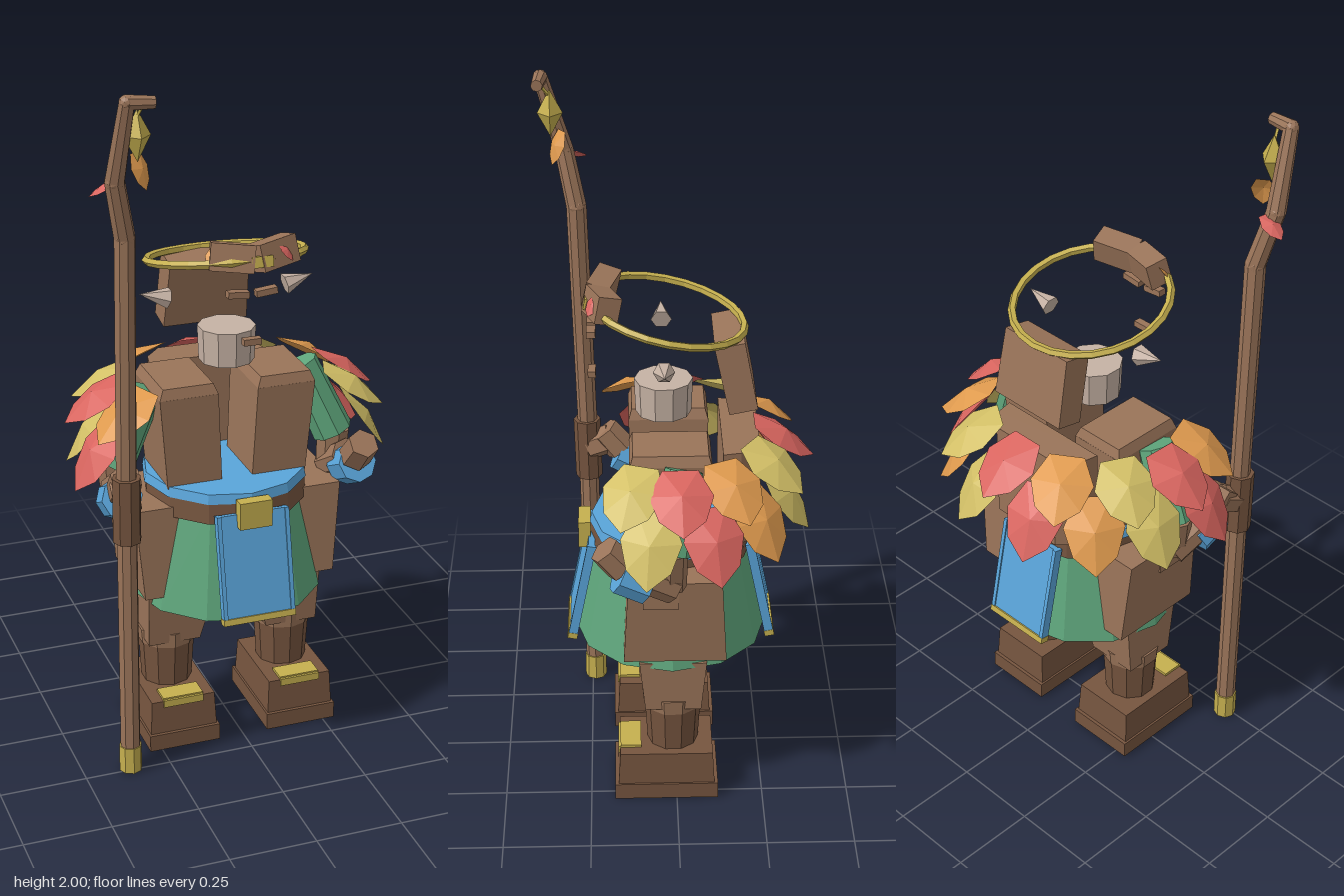
import * as THREE from 'three';

const colours = {
  brown: 0x9a7459, darkBrown: 0x76553f, green: 0x5fa67c, blue: 0x5aa5da, red: 0xd9655f,
  orange: 0xdf9a4e, yellow: 0xd2bf66, gold: 0xc6b04f, bone: 0xc6b2a4,
};

export function createModel() {
  const model = new THREE.Group();
  model.name = 'forestGuardian';
  const M = {};
  for (const [name, color] of Object.entries(colours)) {
    M[name] = new THREE.MeshStandardMaterial({ color, side: THREE.DoubleSide });
    M[name].name = name;
  }
  const V = (x, y, z) => new THREE.Vector3(x, y, z);

  // Faceted mesh helper
  function add(name, geo, mat, pos = [0, 0, 0], rot = [0, 0, 0], parent = model) {
    const g = geo.index ? geo.toNonIndexed() : geo;
    g.computeVertexNormals();
    const mesh = new THREE.Mesh(g, M[mat]);
    mesh.name = name;
    mesh.position.set(...pos);
    mesh.rotation.set(...rot);
    parent.add(mesh);
    return mesh;
  }
  const box = (w, h, d) => new THREE.BoxGeometry(w, h, d);
  const cyl = (rt, rb, h, n = 10) => new THREE.CylinderGeometry(rt, rb, h, n);
  // Box whose top is scaled and shifted relative to its bottom
  function taper(w, h, d, sx, sz, shiftX = 0, shiftZ = 0) {
    const g = box(w, h, d), p = g.attributes.position;
    for (let i = 0; i < p.count; i++) if (p.getY(i) > 0) {
      p.setX(i, p.getX(i) * sx + shiftX);
      p.setZ(i, p.getZ(i) * sz + shiftZ);
    }
    return g;
  }
  // Cylinder running from one point to another
  function limb(name, mat, a, b, ra, rb, n = 8) {
    const from = V(...a), to = V(...b), dir = to.clone().sub(from);
    const mesh = add(name, cyl(rb, ra, dir.length(), n), mat, from.clone().add(to).multiplyScalar(0.5).toArray());
    mesh.quaternion.setFromUnitVectors(V(0, 1, 0), dir.normalize());
    return mesh;
  }

  // Legs and boots
  for (const s of [-1, 1]) {
    const x = 0.18 * s;
    add('thigh', taper(0.155, 0.16, 0.16, 1.3, 1.2, -0.02 * s), 'brown', [x, 0.375, 0.01]);
    add('bootCuff', cyl(0.088, 0.084, 0.045), 'brown', [x, 0.3, 0.01]);
    add('bootShaft', cyl(0.082, 0.073, 0.15), 'darkBrown', [x, 0.215, 0.01]);
    add('bootSole', box(0.212, 0.05, 0.3), 'darkBrown', [x, 0.025, 0.03]);
    add('bootFoot', taper(0.2, 0.1, 0.28, 0.95, 0.96), 'darkBrown', [x, 0.1, 0.03]);
    add('toePlate', box(0.12, 0.009, 0.06), 'gold', [x, 0.154, 0.133]);
    add('toePlateFront', box(0.12, 0.022, 0.008), 'gold', [x, 0.143, 0.166]);
  }

  // Skirt, hip guards and belt
  add('skirt', cyl(0.215, 0.278, 0.32, 12), 'green', [0, 0.6, 0.012]);
  for (const s of [-1, 1]) {
    add('hipGuard', taper(0.105, 0.27, 0.29, 1.2, 0.9, 0.012 * s), 'brown', [0.232 * s, 0.615, 0.005]);
    add('hipGuardLip', box(0.03, 0.06, 0.1), 'brown', [0.29 * s, 0.695, 0.045]);
  }
  add('belt', cyl(0.232, 0.236, 0.06, 12), 'darkBrown', [0, 0.75, 0.01]);
  add('sash', cyl(0.232, 0.238, 0.028, 12), 'blue', [0, 0.793, 0.005]);
  add('buckle', box(0.095, 0.08, 0.035), 'gold', [0, 0.758, 0.258]);

  // Front and back hanging cloths with gold hems
  for (const [s, z] of [[1, 0.268], [-1, -0.243]]) {
    const cloth = new THREE.Group();
    cloth.name = s > 0 ? 'frontCloth' : 'backCloth';
    cloth.position.set(0, 0.6, z);
    cloth.rotation.set(-0.2 * s, 0, 0);
    model.add(cloth);
    add('clothPanel', box(0.2, 0.31, 0.018), 'blue', [0, 0, 0], [0, 0, 0], cloth);
    for (const e of [-1, 1]) add('clothEdge', box(0.012, 0.31, 0.026), 'blue', [0.1 * e, 0, 0], [0, 0, 0], cloth);
    add('clothHem', box(0.214, 0.018, 0.028), 'gold', [0, -0.15, 0], [0, 0, 0], cloth);
  }

  // Torso shells
  for (const s of [-1, 1]) {
    add('chestPanel', taper(0.16, 0.27, 0.21, 1.06, 1.08, 0.018 * s), 'brown', [0.125 * s, 0.935, 0.015]);
    add('chestPanelTop', taper(0.17, 0.03, 0.226, 0.86, 0.92), 'brown', [0.143 * s, 1.085, 0.015]);
  }
  const back = new THREE.Shape([[-0.175, 0.13], [0.175, 0.13], [0.165, 0.18], [0.115, 0.235], [-0.115, 0.235], [-0.165, 0.18]]
    .map(([x, y]) => new THREE.Vector2(x, y)));
  add('backPanel', new THREE.ExtrudeGeometry(back, { depth: 0.29, bevelEnabled: false }), 'brown', [0, 0.79, 0], [-Math.PI / 2, 0, 0]);

  // Neck, hood and face pieces
  add('neck', cyl(0.082, 0.078, 0.1), 'bone', [0, 1.182, 0.03]);
  add('hood', taper(0.25, 0.2, 0.08, 0.94, 1.05), 'brown', [0, 1.283, -0.167], [0.2, 0, 0]);
  for (const s of [-1, 1]) {
    add('ear', new THREE.ConeGeometry(0.03, 0.085, 6), 'bone', [0.212 * s, 1.342, 0.032], [0, 0, -1.32 * s]);
    add('browPiece', box(0.12, 0.075, 0.065), 'brown', [s < 0 ? -0.045 : 0.072, 1.487, 0.197], [-0.25, 0.28 * s, 0.16 * s]);
    add('faceChip', box(0.06, 0.018, 0.025), 'brown', [0.04 * s, 1.393, 0.228], [0, 0, 0.1 * s]);
  }
  add('noseChip', box(0.05, 0.018, 0.022), 'brown', [0, 1.255, 0.228]);

  // Tilted circlet
  add('circlet', new THREE.TorusGeometry(0.218, 0.012, 5, 24), 'gold', [0, 1.436, 0.02], [Math.PI / 2 - 0.215, 0, 0]);
  add('circletClasp', box(0.06, 0.03, 0.015), 'gold', [0.025, 1.48, 0.238], [-0.2, 0, 0]);

  // Arms
  for (const s of [-1, 1]) {
    const n = s > 0 ? 'left' : 'right';
    limb(n + 'Sleeve', 'green', [0.24 * s, 1.07, s < 0 ? 0.03 : -0.02], [0.33 * s, 0.86, 0.02], 0.052, 0.06);
    limb(n + 'Forearm', 'brown', [0.325 * s, 0.755, 0.01], [0.345 * s, 0.81, 0.1], 0.05, 0.052);
    limb(n + 'Elbow', 'brown', [0.33 * s, 0.87, 0.02], [0.325 * s, 0.755, 0.02], 0.05, 0.045);
    limb(n + 'Cuff', 'blue', [0.345 * s, 0.775, 0.08], [0.35 * s, 0.815, 0.16], 0.058, 0.058);
    limb(n + 'Hand', 'brown', [0.345 * s, 0.83, 0.15], [0.35 * s, 0.89, 0.2], 0.048, 0.045, 6);
  }
  limb('gripFingers', 'brown', [-0.35, 0.86, 0.18], [-0.36, 0.83, 0.245], 0.045, 0.042, 6);

  // Domed pointed leaf: root at the origin, tip along +z, dome towards +y
  function leaf(length, width, dome) {
    const half = [[0.28, 0], [0.5, 0.38], [0.36, 0.75]];
    const rim = [...half, [0, 1], ...half.slice().reverse().map(([x, z]) => [-x, z])];
    const pts = [];
    rim.forEach((a, i) => {
      const b = rim[(i + 1) % rim.length];
      pts.push(b[0] * width, 0, b[1] * length, 0, dome, 0.45 * length, a[0] * width, 0, a[1] * length);
    });
    const g = new THREE.BufferGeometry();
    g.setAttribute('position', new THREE.Float32BufferAttribute(pts, 3));
    // Orient every triangle upwards
    const p = g.attributes.position.array;
    for (let i = 0; i < p.length; i += 9) {
      const up = (p[i + 5] - p[i + 2]) * (p[i + 6] - p[i]) - (p[i + 3] - p[i]) * (p[i + 8] - p[i + 2]);
      if (up < 0) for (let k = 0; k < 3; k++) [p[i + k], p[i + 6 + k]] = [p[i + 6 + k], p[i + k]];
    }
    return g;
  }
  // Places a leaf by its centre, facing outwards and drooping
  function placeLeaf(name, mat, x, y, z, droop, length, width, heading = Math.atan2(x, z)) {
    const mesh = add(name, leaf(length, width, width * 0.16), mat);
    mesh.rotation.order = 'YXZ';
    mesh.rotation.set(droop, heading, 0);
    mesh.position.copy(V(0, 0, -length / 2).applyEuler(mesh.rotation)).add(V(x, y, z));
  }

  // Leaf mantle: upper and lower rows as [colour, x, z]
  const upper = [['red', 0, -0.31], ['orange', -0.18, -0.275], ['yellow', -0.315, -0.155], ['red', -0.375, -0.01],
    ['orange', -0.335, 0.13], ['yellow', 0.18, -0.275], ['orange', 0.32, -0.155], ['red', 0.375, -0.01], ['yellow', 0.345, 0.125]];
  const lower = [['red', -0.11, -0.315], ['yellow', 0.11, -0.315], ['orange', -0.27, -0.235], ['orange', 0.27, -0.235],
    ['yellow', -0.37, -0.1], ['red', 0.385, -0.1], ['red', -0.4, 0.075], ['yellow', 0.4, 0.075]];
  for (const [mat, x, z] of upper) placeLeaf('upperLeaf', mat, x, 1.04, z, 0.58, 0.205, 0.175);
  for (const [mat, x, z] of lower) placeLeaf('lowerLeaf', mat, x, 0.91, z, 0.95, 0.22, 0.17);

  // Staff with crooked top
  const path = [[-0.365, 0.02, 0.24], [-0.365, 0.9, 0.25], [-0.362, 1.6, 0.268], [-0.395, 1.76, 0.3], [-0.378, 1.975, 0.36], [-0.308, 1.972, 0.368]];
  const radii = [0.029, 0.029, 0.029, 0.027, 0.021, 0.017];
  for (let i = 0; i < path.length - 1; i++) {
    limb('staffShaft', 'brown', path[i], path[i + 1], radii[i], radii[i + 1]);
    if (i) add('staffKnot', new THREE.IcosahedronGeometry(radii[i], 1), 'brown', path[i]);
  }
  add('staffFerrule', cyl(0.033, 0.033, 0.08, 8), 'gold', [-0.365, 0.04, 0.24]);
  limb('staffGrip', 'darkBrown', [-0.365, 0.73, 0.248], [-0.365, 0.92, 0.252], 0.04, 0.04);
  const crystal = new THREE.OctahedronGeometry(1);
  crystal.scale(0.036, 0.068, 0.036);
  add('staffCrystal', crystal, 'gold', [-0.345, 1.883, 0.335]);
  limb('crystalCord', 'gold', [-0.345, 1.93, 0.335], [-0.335, 1.97, 0.362], 0.005, 0.005, 4);

  // Small leaves on the staff and circlet
  placeLeaf('staffLeaf', 'red', -0.415, 1.735, 0.265, 0.5, 0.085, 0.06, -1.7);
  placeLeaf('staffLeaf', 'orange', -0.332, 1.785, 0.318, 1.2, 0.1, 0.065, 0.6);
  placeLeaf('circletLeaf', 'red', 0.1, 1.495, 0.222, 0.9, 0.06, 0.045, 0.8);
  placeLeaf('circletLeaf', 'orange', -0.1, 1.49, 0.2, 0.9, 0.06, 0.045, -0.6);

  return model;
}
